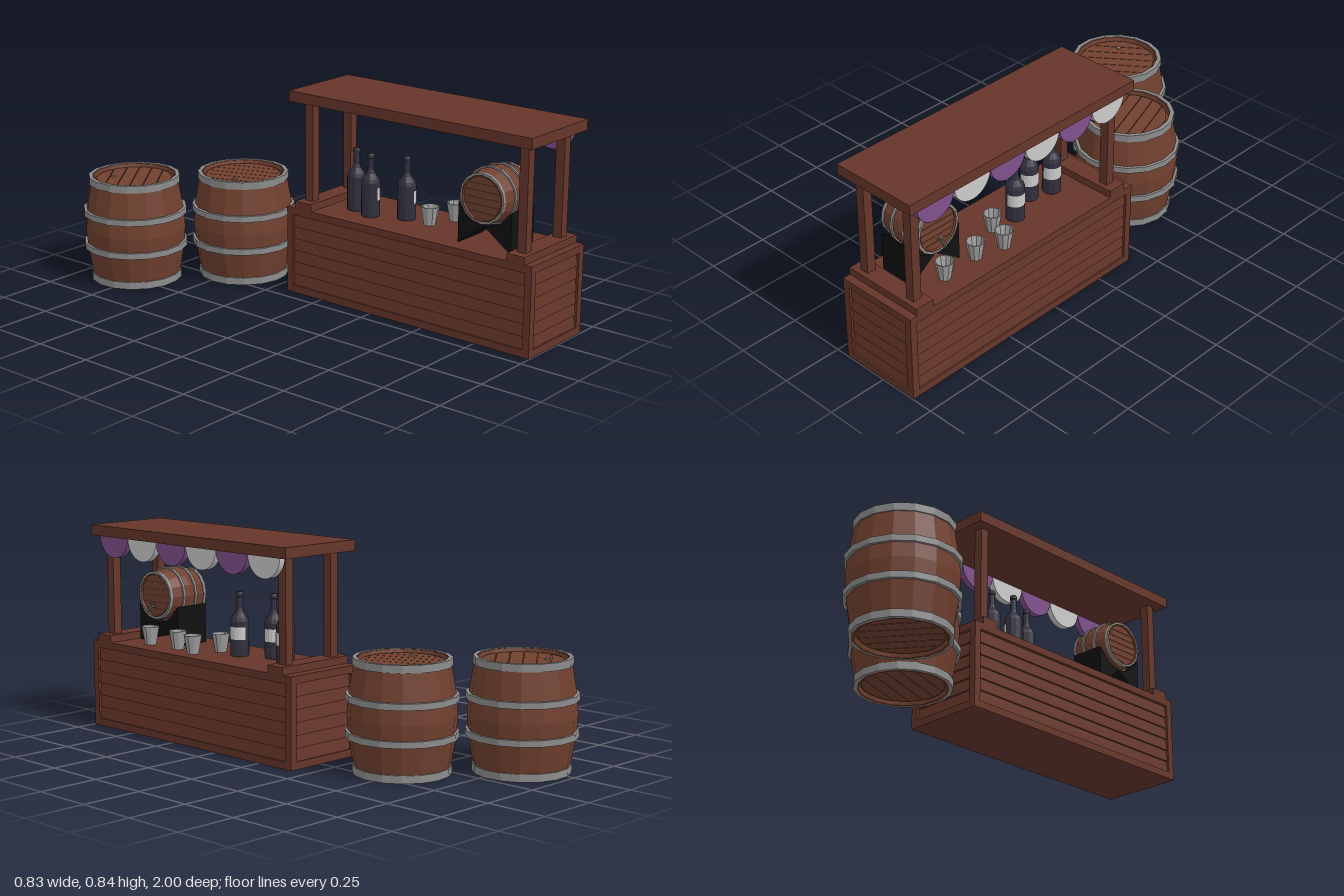
import * as THREE from 'three';

const mat = (color, extra = {}) => new THREE.MeshStandardMaterial({ color, flatShading: true, ...extra });
const wood = mat(0x66362a);
const stave = mat(0x70402f);
const metal = mat(0x8c8c8c);
const tin = mat(0xa0a0a0, { side: THREE.DoubleSide });
const black = mat(0x111111);
const glass = mat(0x322f3d);
const paper = mat(0xcccccc);
const purple = mat(0x80508c);
const pewter = mat(0x6e6b5c);

function add(parent, name, geometry, material, x = 0, y = 0, z = 0) {
  const mesh = new THREE.Mesh(geometry, material);
  mesh.name = name;
  mesh.position.set(x, y, z);
  parent.add(mesh);
  return mesh;
}

const box = (parent, name, w, h, d, x, y, z, material = wood) =>
  add(parent, name, new THREE.BoxGeometry(w, h, d), material, x, y, z);

const lathe = (pts, sides) =>
  new THREE.LatheGeometry(pts.map(([r, y]) => new THREE.Vector2(r, y)), sides);

const extrude = (shape, depth) =>
  new THREE.ExtrudeGeometry(shape, { depth, bevelEnabled: false, curveSegments: 14 });

// Framed panel of overlapping boards, facing +z, with its outer face on z = 0
function makePanel(name, width, height) {
  const g = new THREE.Group();
  g.name = name;
  const f = 0.03, t = 0.02, rows = 6;
  for (const s of [-1, 1]) {
    box(g, 'stile', f, height, t, s * (width - f) / 2, height / 2, -t / 2);
    box(g, 'rail', width, f, t, 0, height / 2 + s * (height - f) / 2, -t / 2);
  }
  const pitch = (height - 2 * f) / rows;
  for (let i = 0; i < rows; i++) {
    const board = box(g, 'board', width - 2 * f, pitch + 0.004, 0.008, 0, f + pitch * (i + 0.5), -0.014);
    board.rotation.x = -0.14;
  }
  return g;
}

// Round lid made of straight planks, lying flat and facing +y
function makeLid(radius) {
  const g = new THREE.Group();
  g.name = 'lid';
  const count = 6, step = 2 * radius / count, gap = 0.0015;
  for (let i = 0; i < count; i++) {
    const x0 = -radius + i * step + gap, x1 = x0 + step - 2 * gap;
    const edge = [0, 1, 2, 3, 4].map((k) => {
      const x = x0 + (x1 - x0) * k / 4;
      return new THREE.Vector2(x, Math.sqrt(radius * radius - x * x));
    });
    const lower = edge.map((p) => new THREE.Vector2(p.x, -p.y));
    const plank = extrude(new THREE.Shape([...lower, ...edge.reverse()]), 0.006);
    add(g, 'lidPlank', plank.rotateX(-Math.PI / 2), stave);
  }
  return g;
}

// Barrel standing on y = 0
function makeBarrel(name) {
  const g = new THREE.Group();
  g.name = name;
  const sides = 16;
  add(g, 'staves', lathe([
    [0, 0.018], [0.164, 0.018], [0.168, 0], [0.178, 0], [0.202, 0.14], [0.208, 0.22],
    [0.202, 0.3], [0.178, 0.438], [0.168, 0.438], [0.164, 0.42], [0, 0.42],
  ], sides), stave);
  for (const [y, h, r] of [[0, 0.03, 0.188], [0.137, 0.025, 0.214], [0.278, 0.025, 0.214], [0.41, 0.03, 0.188]]) {
    const inner = r - 0.016;
    add(g, 'hoop', lathe([[inner, y], [r, y], [r, y + h], [inner, y + h], [inner, y]], sides), metal);
  }
  const top = makeLid(0.155);
  top.position.y = 0.42;
  const bottom = makeLid(0.155);
  bottom.position.y = 0.018;
  bottom.rotation.x = Math.PI;
  g.add(top, bottom);
  add(g, 'bung', new THREE.CylinderGeometry(0.009, 0.009, 0.01, 8), metal, -0.088, 0.427, 0);
  return g;
}

function makeBottle(x, z) {
  const g = new THREE.Group();
  g.name = 'bottle';
  add(g, 'bottleGlass', lathe([
    [0, 0], [0.037, 0], [0.038, 0.006], [0.038, 0.14], [0.033, 0.155], [0.018, 0.175],
    [0.013, 0.19], [0.012, 0.235], [0.015, 0.237], [0.015, 0.248], [0.011, 0.256], [0, 0.256],
  ], 12), glass);
  const label = new THREE.CylinderGeometry(0.0388, 0.0388, 0.05, 8, 1, true, -0.9, Math.PI);
  add(g, 'label', label, paper, 0, 0.093, 0).rotation.y = Math.PI / 4;
  g.position.set(x, 0.36, z);
  return g;
}

export function createModel() {
  const model = new THREE.Group();
  model.name = 'marketStall';
  const cx = 0.2325, cz = 0.41, w = 0.355, len = 1.175, h = 0.36;

  // Counter with panels on all four sides
  const counter = new THREE.Group();
  counter.name = 'counter';
  box(counter, 'counterCore', w - 0.036, h, len - 0.036, cx, h / 2, cz);
  const sides = [
    ['frontPanel', w, cx, cz + len / 2, 0], ['backPanel', w, cx, cz - len / 2, Math.PI],
    ['leftPanel', len, cx + w / 2, cz, Math.PI / 2], ['rightPanel', len, cx - w / 2, cz, -Math.PI / 2],
  ];
  for (const [name, width, x, z, turn] of sides) {
    const panel = makePanel(name, width, h);
    panel.position.set(x, 0, z);
    panel.rotation.y = turn;
    counter.add(panel);
  }
  model.add(counter);

  // Post footings, posts and roof
  for (const z of [0.925, -0.093]) {
    box(model, 'postFooting', w, 0.03, 0.08, cx, 0.375, z);
    for (const x of [0.112, 0.352]) box(model, 'post', 0.038, 0.43, 0.038, x, 0.595, z);
  }
  box(model, 'roof', 0.37, 0.043, 1.145, cx, 0.8215, 0.4125);

  // Scalloped awning along the serving side
  const scallop = new THREE.Shape();
  scallop.absarc(0, 0, 0.088, Math.PI, 2 * Math.PI, false);
  for (let i = 0; i < 6; i++) {
    const geo = extrude(scallop, 0.027).rotateY(Math.PI / 2);
    add(model, 'awningScallop', geo, i % 2 ? paper : purple, 0.379, 0.802, 0.855 - 0.177 * i);
  }

  // Cradle and keg lying along x
  const cradle = new THREE.Shape();
  cradle.moveTo(-0.12, 0);
  cradle.lineTo(0, 0.085);
  cradle.lineTo(0.12, 0);
  cradle.lineTo(0.12, 0.162);
  cradle.lineTo(0.095, 0.14);
  cradle.absarc(0, 0.2, 0.112, -0.56, -Math.PI + 0.56, true);
  cradle.lineTo(-0.12, 0.162);
  add(model, 'kegCradle', extrude(cradle, 0.15).rotateY(Math.PI / 2), black, 0.12, 0.36, 0.74);
  const keg = makeBarrel('keg');
  keg.scale.set(0.53, 0.44, 0.53);
  keg.rotation.z = -Math.PI / 2;
  keg.position.set(0.097, 0.56, 0.74);
  model.add(keg);

  // Tap on the keg
  const tap = new THREE.Group();
  tap.name = 'tap';
  const spout = new THREE.CatmullRomCurve3([
    [0, 0, 0], [0.022, 0, 0], [0.034, -0.005, 0], [0.036, -0.02, 0],
  ].map((p) => new THREE.Vector3(...p)));
  add(tap, 'spout', new THREE.TubeGeometry(spout, 10, 0.005, 8), pewter);
  add(tap, 'tapStem', new THREE.CylinderGeometry(0.004, 0.004, 0.014, 8), pewter, 0.018, 0.008, 0);
  box(tap, 'tapHandle', 0.008, 0.006, 0.026, 0.018, 0.016, 0, pewter);
  tap.position.set(0.286, 0.514, 0.74);
  model.add(tap);

  // Cups and bottles on the counter
  const cup = [[0, 0], [0.024, 0], [0.037, 0.075], [0.033, 0.075], [0.022, 0.008], [0, 0.008]];
  for (const [x, z] of [[0.317, 0.74], [0.31, 0.577], [0.337, 0.455], [0.23, 0.408]]) {
    add(model, 'cup', lathe(cup, 10), tin, x, 0.36, z);
  }
  for (const [x, z] of [[0.234, 0.29], [0.176, 0.155], [0.205, 0.06]]) model.add(makeBottle(x, z));

  // Standing barrels behind the stall
  for (const [x, z, turn] of [[-0.205, -0.787, -0.93], [0.125, -0.48, 0.34]]) {
    const barrel = makeBarrel('barrel');
    barrel.position.set(x, 0, z);
    barrel.rotation.y = turn;
    model.add(barrel);
  }
  return model;
}
